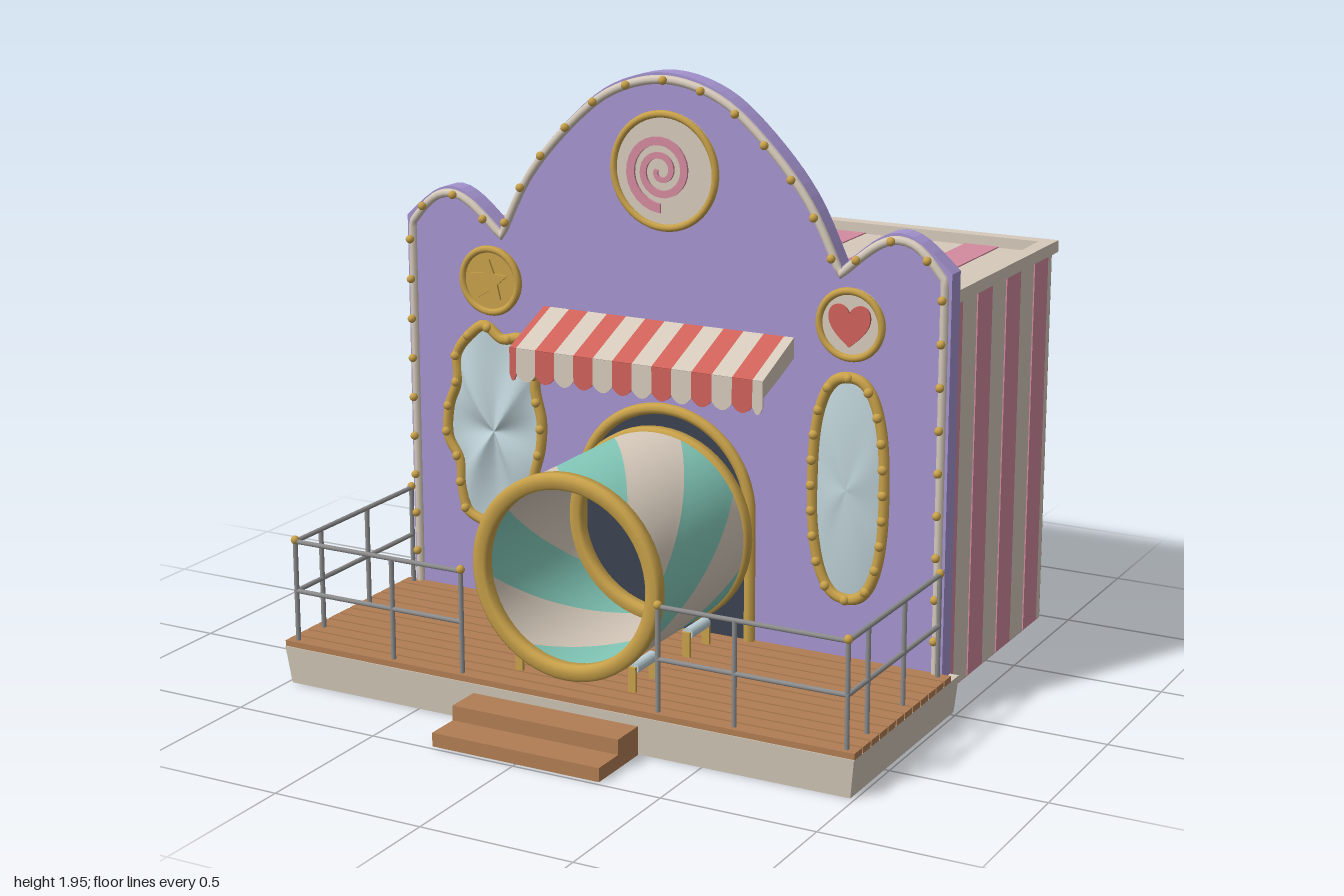
import * as THREE from 'three';
import { toCreasedNormals } from 'three/addons/utils/BufferGeometryUtils.js';

const paint = (name, color, side = THREE.FrontSide) => {
  const m = new THREE.MeshStandardMaterial({ color, side });
  m.name = name;
  return m;
};
const V2 = (x, y) => new THREE.Vector2(x, y);
const V3 = (x, y, z) => new THREE.Vector3(x, y, z);

export function createModel() {
  const purple = paint('purple', 0xa594d0), cream = paint('cream', 0xd6cabb, THREE.DoubleSide);
  const pink = paint('pink', 0xd38ba0), teal = paint('teal', 0x82c8b8, THREE.DoubleSide);
  const gold = paint('gold', 0xc9a24a), wood = paint('wood', 0xb07d53);
  const grey = paint('grey', 0x8d8d8d), dark = paint('dark', 0x3b4351);
  const glass = paint('glass', 0xbfd3d9), red = paint('red', 0xd0625a, THREE.DoubleSide);

  const model = new THREE.Group();
  model.name = 'funhouse';
  const group = (name) => {
    const g = new THREE.Group();
    g.name = name;
    model.add(g);
    return g;
  };
  const add = (parent, name, geo, mat, x = 0, y = 0, z = 0) => {
    const m = new THREE.Mesh(geo, mat);
    m.name = name;
    m.position.set(x, y, z);
    parent.add(m);
    return m;
  };
  // box given by its minimum and maximum corners
  const block = (parent, name, mat, x0, x1, y0, y1, z0, z1) =>
    add(parent, name, new THREE.BoxGeometry(x1 - x0, y1 - y0, z1 - z0), mat, (x0 + x1) / 2, (y0 + y1) / 2, (z0 + z1) / 2);
  const plate = (parent, name, shape, depth, mat, x, y, z) =>
    add(parent, name, new THREE.ExtrudeGeometry(shape, { depth, bevelEnabled: false, curveSegments: 32 }), mat, x, y, z);
  const polyPath = (pts, z) => {
    const path = new THREE.CurvePath();
    for (let i = 1; i < pts.length; i++)
      path.add(new THREE.LineCurve3(V3(pts[i - 1].x, pts[i - 1].y, z), V3(pts[i].x, pts[i].y, z)));
    return path;
  };
  const bulbs = (parent, pts, r) => pts.forEach((p) => add(parent, 'bulb', new THREE.SphereGeometry(r, 10, 8), gold, p.x, p.y, p.z));
  const rod = (parent, name, a, b, r, mat) =>
    add(parent, name, new THREE.TubeGeometry(new THREE.LineCurve3(a, b), 1, r, 8), mat);

  // striped hall with a raised roof rim
  const hall = group('hall');
  block(hall, 'hallBody', cream, -0.905, 0.905, 0.006, 1.284, -0.97, -0.025);
  for (let i = 0; i < 8; i++) {
    const x = -0.85 + i * 0.243;
    block(hall, 'roofAndBackStripe', pink, x, Math.min(x + 0.12, 0.904), 0.003, 1.288, -0.974, -0.03);
  }
  for (let i = 0; i < 4; i++) {
    const z = -0.08 - i * 0.243;
    block(hall, 'sideStripe', pink, -0.909, 0.909, 0.01, 1.28, z - 0.12, z);
  }
  for (const s of [-1, 1]) {
    block(hall, 'roofRimSide', cream, s * 0.895 - 0.025, s * 0.895 + 0.025, 1.28, 1.32, -0.99, -0.025);
    block(hall, 'roofRimEnd', cream, -0.9, 0.9, 1.28, 1.32, s < 0 ? -0.99 : -0.08, s < 0 ? -0.94 : -0.025);
  }

  // facade with arched skyline; d draws the line inward
  const skyline = (d) => {
    const bump = [[0.97 - d, 1.41], [0.87, 1.495], [0.79, 1.52], [0.71, 1.485], [0.605, 1.395]];
    const arch = [[0.605, 1.395], [0.5, 1.6], [0.35, 1.775], [0.19, 1.9], [0, 1.948], [-0.19, 1.9], [-0.35, 1.775], [-0.5, 1.6], [-0.605, 1.395]];
    const curve = (list, n) => new THREE.SplineCurve(list.map(([x, y]) => V2(x, y - d))).getPoints(n);
    const right = curve(bump, 12), left = right.map((p) => V2(-p.x, p.y)).reverse();
    return [V2(0.97 - d, 0.12), ...right, ...curve(arch, 40).slice(1, -1), ...left, V2(-0.97 + d, 0.12)];
  };
  const facade = group('facade');
  plate(facade, 'facadeWall', new THREE.Shape(skyline(0)), 0.065, purple, 0, 0, -0.025);
  const trim = polyPath(skyline(0.022), 0.043);
  add(facade, 'facadeTrim', new THREE.TubeGeometry(trim, 220, 0.014, 8), cream);
  bulbs(facade, trim.getSpacedPoints(38).map((p) => p.setZ(0.063)), 0.014);

  // doorway
  const doorArch = (r) => {
    const pts = [V2(r, 0.14)];
    for (let i = 0; i <= 32; i++) pts.push(V2(r * Math.cos(i / 32 * Math.PI), 0.565 + r * Math.sin(i / 32 * Math.PI)));
    return [...pts, V2(-r, 0.14)];
  };
  const door = group('doorway');
  plate(door, 'doorOpening', new THREE.Shape(doorArch(0.31)), 0.006, dark, 0, 0, 0.04);
  add(door, 'doorFrame', new THREE.TubeGeometry(polyPath(doorArch(0.307), 0.05), 100, 0.019, 8), gold);

  // platform, planks and steps
  const porch = group('porch');
  const base = new THREE.BoxGeometry(2, 0.125, 0.78);
  const bp = base.attributes.position;
  for (let i = 0; i < bp.count; i++)
    if (bp.getY(i) < 0) bp.setXYZ(i, bp.getX(i) * 0.985, bp.getY(i), bp.getZ(i) > 0 ? 0.378 : -0.39);
  base.computeVertexNormals();
  add(porch, 'platform', base, cream, 0, 0.0625, 0.365);
  for (let i = 0; i < 12; i++) block(porch, 'plank', wood, -1, 1, 0.124, 0.144, 0.04 + i * 0.06, 0.092 + i * 0.06);
  block(porch, 'upperStep', wood, -0.29, 0.29, 0.003, 0.095, 0.755, 0.875);
  block(porch, 'lowerStep', wood, -0.29, 0.29, 0.003, 0.047, 0.875, 0.99);

  // railings, mirrored
  for (const s of [-1, 1]) {
    const rail = group(s > 0 ? 'leftRailing' : 'rightRailing');
    const posts = [[0.965, 0.065], [0.965, 0.33], [0.965, 0.59], [0.965, 0.73], [0.6, 0.73], [0.345, 0.73]];
    for (const [x, z] of posts) rod(rail, 'railPost', V3(s * x, 0.14, z), V3(s * x, 0.475, z), 0.008, grey);
    for (const y of [0.31, 0.475]) {
      rod(rail, 'sideRail', V3(s * 0.965, y, 0.06), V3(s * 0.965, y, 0.735), 0.008, grey);
      rod(rail, 'frontRail', V3(s * 0.97, y, 0.73), V3(s * 0.34, y, 0.73), 0.008, grey);
    }
    for (const i of [0, 3, 5]) add(rail, 'railKnob', new THREE.SphereGeometry(0.014, 10, 8), gold, s * posts[i][0], 0.48, posts[i][1]);
  }

  // spinning barrel with helical bands, end rings and rollers
  const barrel = group('barrel');
  barrel.position.y = 0.493;
  for (let k = 0; k < 8; k++) {
    const g = new THREE.PlaneGeometry(1, 1, 8, 24), p = g.attributes.position;
    for (let i = 0; i < p.count; i++) {
      const z = 0.09 + 0.58 * (p.getY(i) + 0.5);
      const a = THREE.MathUtils.degToRad(-10 + k * 45 - 45 * (p.getX(i) + 0.5) + 125 * (z - 0.26));
      p.setXYZ(i, 0.317 * Math.sin(a), 0.317 * Math.cos(a), z);
    }
    g.computeVertexNormals();
    add(barrel, 'barrelBand', g, k % 2 ? cream : teal);
  }
  const ringProfile = [[0.318, -0.024], [0.328, -0.015], [0.328, 0.015], [0.318, 0.024], [0.286, 0.024], [0.278, 0.015], [0.278, -0.015], [0.286, -0.024], [0.318, -0.024]];
  const ringGeo = toCreasedNormals(new THREE.LatheGeometry(ringProfile.map(([r, y]) => V2(r, y)), 56), 0.9);
  for (const z of [0.09, 0.67]) add(barrel, 'barrelRing', ringGeo, gold, 0, 0, z).rotation.x = Math.PI / 2;
  const rollers = group('rollers');
  for (const x of [-0.2, 0.2]) for (const z of [0.21, 0.56]) {
    add(rollers, 'roller', new THREE.CylinderGeometry(0.019, 0.019, 0.12, 14), glass, x, 0.218, z).rotation.x = Math.PI / 2;
    for (const dz of [-0.066, 0.066]) block(rollers, 'rollerBracket', gold, x - 0.013, x + 0.013, 0.14, 0.225, z + dz - 0.005, z + dz + 0.005);
  }

  // funhouse mirrors: bulging glass in a beaded frame, outline runs anticlockwise
  const mirror = (name, outline, ripple) => {
    const g = group(name);
    const curve = new THREE.CatmullRomCurve3(outline.map(([x, y]) => V3(x, y, 0.05)), true);
    const rim = curve.getSpacedPoints(64).slice(0, 64), pos = [], index = [], rings = 6;
    const c = rim.reduce((a, p) => a.addScaledVector(p, 1 / 64), V3(0, 0, 0));
    for (let j = 0; j <= rings; j++) for (let i = 0; i < 64; i++) {
      const t = 1 - j / rings, p = c.clone().lerp(rim[i], t);
      pos.push(p.x, p.y, 0.045 + 0.022 * (1 - t * t) + ripple * t * (1 - t) * Math.sin(i * Math.PI / 8));
      const a = j * 64 + i, b = j * 64 + (i + 1) % 64;
      if (j < rings) index.push(a, b, b + 64, a, b + 64, a + 64);
    }
    const geo = new THREE.BufferGeometry();
    geo.setAttribute('position', new THREE.Float32BufferAttribute(pos, 3));
    geo.setIndex(index);
    geo.computeVertexNormals();
    add(g, 'mirrorGlass', geo, glass);
    add(g, 'mirrorFrame', new THREE.TubeGeometry(curve, 120, 0.018, 8, true), gold);
    bulbs(g, curve.getSpacedPoints(20).slice(0, 20).map((p) => p.setZ(0.062)), 0.016);
  };
  mirror('wavyMirror', [[-0.67, 1.07], [-0.605, 1.03], [-0.53, 1.04], [-0.48, 0.965], [-0.48, 0.875], [-0.457, 0.77], [-0.463, 0.675],
    [-0.488, 0.58], [-0.5, 0.47], [-0.55, 0.365], [-0.61, 0.345], [-0.675, 0.39], [-0.745, 0.425], [-0.768, 0.505], [-0.774, 0.595],
    [-0.818, 0.675], [-0.812, 0.783], [-0.778, 0.875], [-0.778, 0.965], [-0.73, 1.03]].reverse(), 0.06);
  const oval = [];
  for (let i = 0; i < 24; i++) {
    const a = i / 24 * Math.PI * 2, f = (v) => Math.sign(v) * Math.abs(v) ** 0.8;
    oval.push([0.645 + 0.122 * f(Math.cos(a)), 0.697 + 0.358 * f(Math.sin(a))]);
  }
  mirror('ovalMirror', oval, 0.01);

  // round signs
  const sign = (name, x, y, r, face) => {
    const g = group(name);
    g.position.set(x, y, 0.04);
    add(g, 'signFace', new THREE.CylinderGeometry(r, r, 0.014, 48), face, 0, 0, 0.007).rotation.x = Math.PI / 2;
    add(g, 'signRing', new THREE.TorusGeometry(r - 0.008, 0.012, 8, 48), gold, 0, 0, 0.013);
    return g;
  };
  const starSign = sign('starSign', -0.645, 1.222, 0.113, gold);
  const star = [];
  for (let i = 0; i < 10; i++) {
    const r = i % 2 ? 0.032 : 0.072, a = Math.PI / 2 + i * Math.PI / 5;
    star.push(V2(r * Math.cos(a), r * Math.sin(a)));
  }
  plate(starSign, 'star', new THREE.Shape(star), 0.008, gold, 0, 0, 0.014);
  const heart = new THREE.Shape();
  heart.moveTo(0, -0.07);
  heart.bezierCurveTo(0.03, -0.045, 0.07, -0.015, 0.07, 0.025);
  heart.bezierCurveTo(0.07, 0.072, 0.015, 0.075, 0, 0.035);
  heart.bezierCurveTo(-0.015, 0.075, -0.07, 0.072, -0.07, 0.025);
  heart.bezierCurveTo(-0.07, -0.015, -0.03, -0.045, 0, -0.07);
  plate(sign('heartSign', 0.645, 1.222, 0.113, cream), 'heart', heart, 0.008, red, 0, 0, 0.014);
  const outer = [], inner = [];
  for (let i = 0; i <= 60; i++) {
    const t = i / 60, a = -Math.PI / 2 - t * Math.PI * 4.6, r = 0.118 - 0.105 * t, w = 0.015 * (1 - 0.5 * t);
    outer.push(V2((r + w) * Math.cos(a), (r + w) * Math.sin(a)));
    inner.unshift(V2((r - w) * Math.cos(a), (r - w) * Math.sin(a)));
  }
  plate(sign('swirlSign', 0, 1.64, 0.188, cream), 'swirl', new THREE.Shape([...outer, ...inner]), 0.008, pink, -0.01, 0, 0.014);

  // striped awning with scalloped valance
  const awning = group('awning');
  const edges = [-0.45, ...Array.from({ length: 13 }, (_, i) => -0.425 + i * 0.07), 0.45];
  const slope = Math.hypot(0.215, 0.09);
  for (let i = 0; i < 14; i++) {
    const w = edges[i + 1] - edges[i], x = (edges[i] + edges[i + 1]) / 2, mat = i % 2 ? cream : red;
    add(awning, 'awningStripe', new THREE.BoxGeometry(w, 0.008, slope), mat, x, 1.108, 0.147).rotation.x = Math.atan2(0.09, 0.215);
    const flap = new THREE.Shape([V2(-w / 2, 0.045), V2(-w / 2, -0.038)]);
    flap.quadraticCurveTo(0, -0.085, w / 2, -0.038);
    flap.lineTo(w / 2, 0.045);
    plate(awning, 'valanceFlap', flap, 0.006, mat, x, 1.02, 0.251);
  }
  for (const s of [-1, 1]) {
    const cheek = new THREE.Shape([V2(-0.04, 1.15), V2(-0.253, 1.06), V2(-0.253, 1.01), V2(-0.14, 1.05), V2(-0.04, 1.09)]);
    plate(awning, 'awningCheek', cheek, 0.005, s > 0 ? cream : red, s * 0.447 - 0.0025, 0, 0).rotation.y = Math.PI / 2;
    rod(awning, 'awningBracket', V3(s * 0.4, 1.035, 0.04), V3(s * 0.4, 1.055, 0.25), 0.007, gold);
  }
  return model;
}
